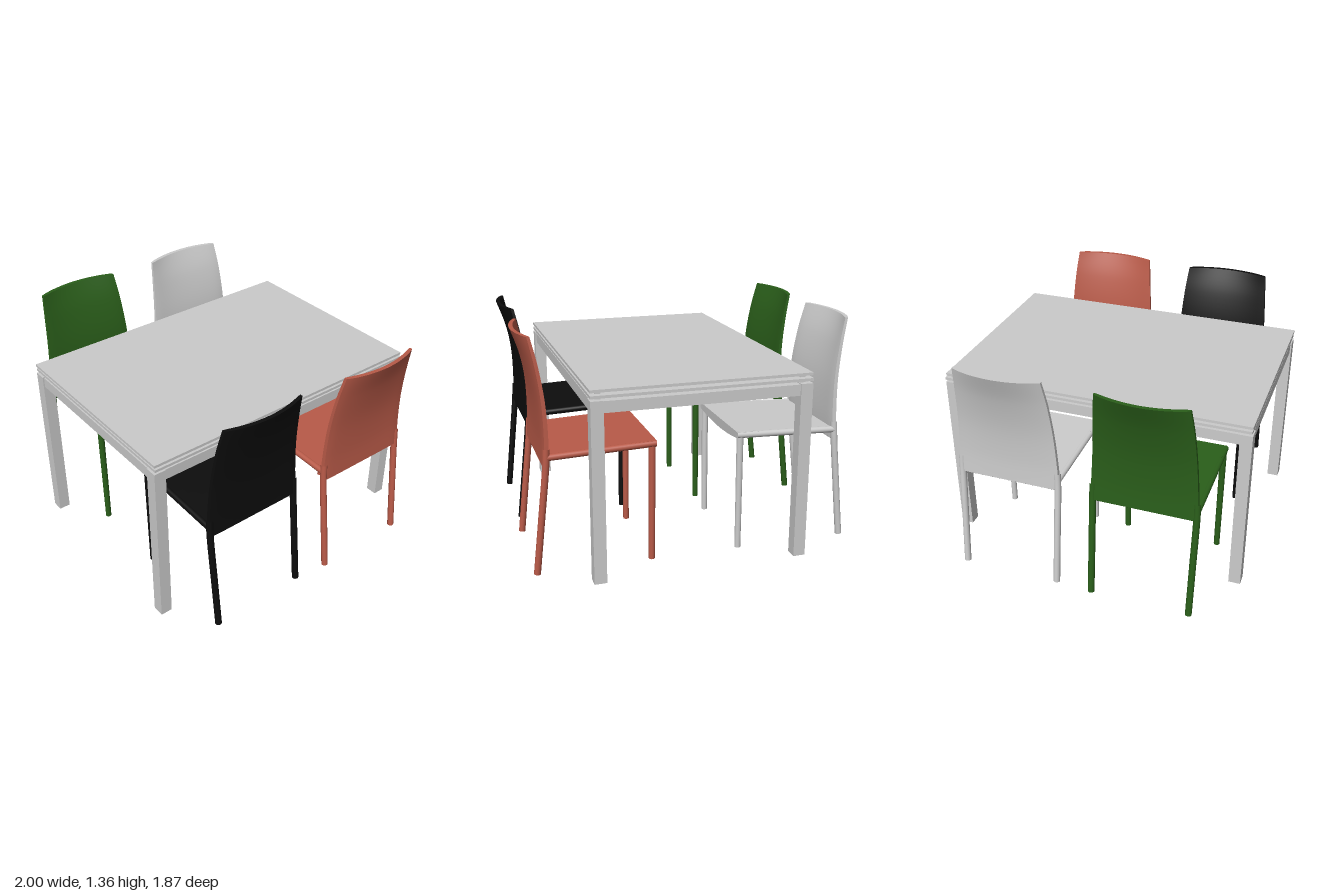
import * as THREE from 'three';

const mat = (color) => new THREE.MeshStandardMaterial({ color, roughness: 0.8 });

function add(parent, name, geometry, material, x = 0, y = 0, z = 0) {
  const mesh = new THREE.Mesh(geometry, material);
  mesh.name = name;
  mesh.position.set(x, y, z);
  parent.add(mesh);
  return mesh;
}

// Slab bent by a rule: each box corner (a, b, c in -1..1) is mapped to a point
function bentSlab(segs, rule) {
  const geo = new THREE.BoxGeometry(2, 2, 2, ...segs);
  const p = geo.attributes.position;
  for (let i = 0; i < p.count; i++) p.setXYZ(i, ...rule(p.getX(i), p.getY(i), p.getZ(i)));
  geo.computeVertexNormals();
  return geo;
}

// Round rod between two points
function rod(parent, name, from, to, r0, r1, material) {
  const a = new THREE.Vector3(...from), b = new THREE.Vector3(...to);
  const dir = b.clone().sub(a);
  const mesh = add(parent, name, new THREE.CylinderGeometry(r1, r0, dir.length(), 20), material);
  mesh.position.copy(a).add(b).multiplyScalar(0.5);
  mesh.quaternion.setFromUnitVectors(new THREE.Vector3(0, 1, 0), dir.normalize());
  return mesh;
}

// Chair facing +x
function makeChair(name, color) {
  const chair = new THREE.Group();
  chair.name = name;
  const m = mat(color);

  // Backrest: narrows upward, leans back and becomes hollow toward the top
  const lean = new THREE.CatmullRomCurve3([
    [-0.875, 0.635], [-0.87, 0.8], [-0.877, 1.0], [-0.904, 1.2], [-0.937, 1.355],
  ].map(([x, y]) => new THREE.Vector3(x, y, 0)));
  add(chair, 'backrest', bentSlab([2, 24, 24], (a, b, c) => {
    const t = (b + 1) / 2, q = lean.getPoint(t);
    const half = 0.315 - 0.053 * Math.pow(t, 1.3);
    const hollow = 0.052 * Math.pow(t, 2) * (1 - c * c);
    const thick = (0.019 - 0.007 * t) * (1 - 0.3 * Math.pow(Math.abs(c), 12));
    return [q.x - hollow + a * thick, q.y, c * half];
  }), m);
  rod(chair, 'backrestLowerBar', [-0.875, 0.64, -0.31], [-0.875, 0.64, 0.31], 0.016, 0.016, m);

  // Seat: flat top rising to the front, underside sagging in the middle
  add(chair, 'seat', bentSlab([12, 2, 20], (a, b, c) => {
    const t = (a + 1) / 2;
    const top = 0.708 + 0.024 * t;
    const depth = 0.036 + 0.024 * (1 - c * c);
    return [-0.85 + 0.6 * t, top - depth * (1 - b) / 2, c * (0.302 + 0.016 * t)];
  }), m);

  for (const s of [-1, 1]) {
    // Side rails, front legs and splayed rear legs
    rod(chair, 'seatRail', [-0.875, 0.69, s * 0.304], [-0.25, 0.714, s * 0.308], 0.019, 0.019, m);
    rod(chair, 'frontLeg', [-0.276, 0, s * 0.298], [-0.272, 0.72, s * 0.302], 0.018, 0.02, m);
    const path = new THREE.CatmullRomCurve3([
      [-0.949, 0, 0.3], [-0.912, 0.33, 0.302], [-0.878, 0.64, 0.304], [-0.872, 0.74, 0.302],
    ].map(([x, y, z]) => new THREE.Vector3(x, y, z * s)));
    add(chair, 'rearLeg', new THREE.TubeGeometry(path, 20, 0.02, 16), m);
    const foot = add(chair, 'rearFoot', new THREE.CircleGeometry(0.02, 16), m, -0.949, 0.001, s * 0.3);
    foot.rotation.x = Math.PI / 2;
  }
  return chair;
}

function makeTable() {
  const table = new THREE.Group();
  table.name = 'table';
  const m = mat(0xcccccc);
  const box = (name, w, h, d, x, y, z) => add(table, name, new THREE.BoxGeometry(w, h, d), m, x, y, z);

  // Two stacked thin tops
  box('lowerTop', 1.27, 0.016, 1.865, 0, 1.072, -0.003);
  box('upperTop', 1.27, 0.016, 1.86, 0, 1.102, 0.003);
  for (const s of [-1, 1]) {
    // Square legs and aprons between them
    for (const t of [-1, 1]) box('tableLeg', 0.072, 1.05, 0.072, s * 0.598, 0.525, t * 0.898);
    box('sideApron', 0.055, 0.065, 1.73, s * 0.598, 1.013, 0);
    box('endApron', 1.13, 0.065, 0.055, 0, 1.013, s * 0.898);
    // Slim spacers carrying the tops
    for (const t of [-1, 1]) box('topSpacer', 0.03, 0.05, 0.03, s * 0.585, 1.07, t * 0.885);
  }
  table.position.x = 0.034;
  return table;
}

export function createModel() {
  const model = new THREE.Group();
  model.name = 'diningSet';
  model.add(makeTable());
  const chairs = [
    ['greenChair', 0x2a5e1a, 0, 0.41, 0],
    ['greyChair', 0xcccccc, 0.015, -0.418, 0],
    ['redChair', 0xb85a48, 0, -0.415, Math.PI],
    ['blackChair', 0x0d0d0d, -0.028, 0.408, Math.PI],
  ];
  for (const [name, color, x, z, turn] of chairs) {
    const chair = makeChair(name, color);
    chair.position.set(x, 0, z);
    chair.rotation.y = turn;
    model.add(chair);
  }
  return model;
}
